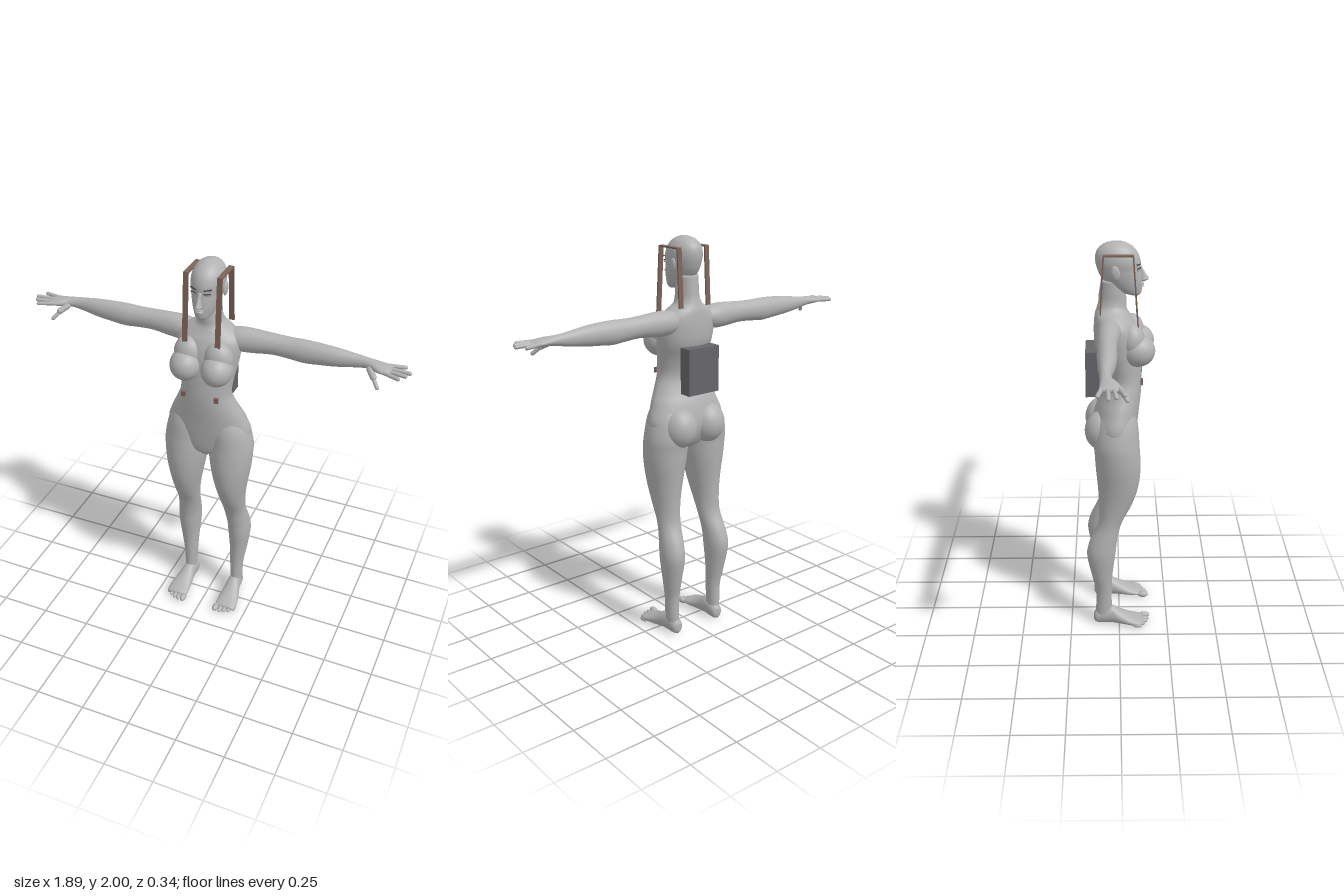
import * as THREE from 'three';

const mat = (name, color) => {
  const m = new THREE.MeshStandardMaterial({ color });
  m.name = name;
  return m;
};

// Smooth closed loft. Rows are [t, c1, r1, c2, r2]: position on the axis, then centre and radius across it.
function loft(axis, rows, side = 1, sub = 5, n = 32) {
  const curve = k => new THREE.CatmullRomCurve3(
    rows.map(r => new THREE.Vector3(r[0], r[k], r[k + 1])), false, 'catmullrom', 0.5);
  const A = curve(1), B = curve(3), steps = (rows.length - 1) * sub;
  const pos = [], idx = [];
  const put = (t, u, v) => {
    const p = axis === 'y' ? [u, t, v] : axis === 'x' ? [t, u, v] : [u, v, t];
    pos.push(p[0] * side, p[1], p[2]);
  };
  const flip = (axis === 'y') !== (rows[0][0] > rows[rows.length - 1][0]) !== (side < 0);
  const tri = (a, b, c) => flip ? idx.push(a, c, b) : idx.push(a, b, c);
  for (let i = 0; i <= steps; i++) {
    const a = A.getPoint(i / steps), b = B.getPoint(i / steps);
    for (let j = 0; j < n; j++) {
      const th = j / n * Math.PI * 2;
      put(a.x, a.y + a.z * Math.cos(th), b.y + b.z * Math.sin(th));
    }
  }
  for (let i = 0; i < steps; i++) for (let j = 0; j < n; j++) {
    const a = i * n + j, b = i * n + (j + 1) % n;
    tri(a, b, a + n);
    tri(b, b + n, a + n);
  }
  const first = rows[0], last = rows[rows.length - 1], p0 = pos.length / 3;
  put(first[0], first[1], first[3]);
  put(last[0], last[1], last[3]);
  for (let j = 0; j < n; j++) {
    const k = (j + 1) % n;
    tri(p0, k, j);
    tri(p0 + 1, steps * n + j, steps * n + k);
  }
  const g = new THREE.BufferGeometry();
  g.setAttribute('position', new THREE.Float32BufferAttribute(pos, 3));
  g.setIndex(idx);
  g.computeVertexNormals();
  return g;
}

// Rows given as [y, half width, front z, back z]
const upright = rows => rows.map(([y, w, f, b]) => [y, 0, w, (f + b) / 2, (f - b) / 2]);

export function createModel() {
  const root = new THREE.Group();
  root.name = 'mannequin';
  const skin = mat('bodyGrey', 0xb2b2b2), dark = mat('packGrey', 0x66666a);
  const brown = mat('strapBrown', 0x7c645a), ink = mat('browDark', 0x48484a);

  const add = (name, geo, m = skin) => {
    const mesh = new THREE.Mesh(geo, m);
    mesh.name = name;
    root.add(mesh);
    return mesh;
  };
  const ball = (name, p, r, m = skin) => {
    const mesh = add(name, new THREE.SphereGeometry(1, 28, 20), m);
    mesh.position.set(...p);
    mesh.scale.set(...r);
    return mesh;
  };
  const box = (name, size, p, m) => {
    const mesh = add(name, new THREE.BoxGeometry(...size), m);
    mesh.position.set(...p);
    return mesh;
  };
  const capsule = (name, a, b, r) => {
    const p = new THREE.Vector3(...a), d = new THREE.Vector3(...b).sub(p);
    const mesh = add(name, new THREE.CapsuleGeometry(r, d.length() - r, 5, 12));
    mesh.position.copy(p).addScaledVector(d, 0.5);
    mesh.quaternion.setFromUnitVectors(new THREE.Vector3(0, 1, 0), d.normalize());
  };

  // Torso and neck
  add('torso', loft('y', upright([
    [0.97, 0.04, 0.05, -0.05], [1.01, 0.13, 0.078, -0.1], [1.1, 0.213, 0.09, -0.13],
    [1.2, 0.188, 0.1, -0.11], [1.27, 0.154, 0.107, -0.08], [1.34, 0.127, 0.11, -0.063],
    [1.42, 0.133, 0.106, -0.08], [1.5, 0.147, 0.1, -0.114], [1.57, 0.156, 0.09, -0.12],
    [1.62, 0.152, 0.072, -0.118], [1.655, 0.118, 0.05, -0.114], [1.685, 0.07, 0.036, -0.105],
    [1.72, 0.054, 0.035, -0.096], [1.77, 0.052, 0.03, -0.09], [1.82, 0.05, 0.02, -0.085],
  ]), 1, 5, 48));

  // Head
  add('head', loft('y', upright([
    [1.745, 0.016, 0.09, 0.06], [1.757, 0.034, 0.103, 0.02], [1.78, 0.048, 0.107, -0.03],
    [1.81, 0.059, 0.108, -0.065], [1.84, 0.067, 0.105, -0.088], [1.87, 0.072, 0.1, -0.101],
    [1.91, 0.077, 0.099, -0.11], [1.95, 0.07, 0.084, -0.105], [1.98, 0.05, 0.054, -0.08],
    [1.995, 0.024, 0.022, -0.045], [2.0, 0.002, -0.008, -0.012],
  ]), 1, 5, 40));
  add('nose', loft('y', upright([
    [1.812, 0.006, 0.12, 0.09], [1.82, 0.016, 0.137, 0.09], [1.83, 0.013, 0.136, 0.09],
    [1.855, 0.009, 0.119, 0.09], [1.885, 0.009, 0.103, 0.085],
  ]), 1, 4, 16));
  ball('upperLip', [0, 1.801, 0.106], [0.022, 0.005, 0.011]);
  ball('lowerLip', [0, 1.791, 0.106], [0.018, 0.006, 0.011]);

  for (const s of [1, -1]) {
    // Face details
    ball('ear', [s * 0.077, 1.868, -0.017], [0.009, 0.034, 0.021]).rotation.x = -0.2;
    ball('eye', [s * 0.033, 1.872, 0.088], [0.015, 0.006, 0.006]);
    const lash = box('eyelash', [0.032, 0.004, 0.006], [s * 0.033, 1.879, 0.092], ink);
    lash.rotation.y = s * 0.42;
    const brow = box('eyebrow', [0.036, 0.005, 0.006], [s * 0.034, 1.897, 0.09], ink);
    brow.rotation.set(0, s * 0.42, s * 0.1);

    // Chest and seat
    ball('breast', [s * 0.078, 1.497, 0.087], [0.075, 0.077, 0.083]);
    ball('upperChest', [s * 0.075, 1.545, 0.06], [0.07, 0.085, 0.062]);
    ball('buttock', [s * 0.086, 1.09, -0.08], [0.088, 0.1, 0.088]);

    // Leg
    add('leg', loft('y', [
      [1.25, 0.1, 0.04, 0, 0.05], [1.15, 0.108, 0.092, -0.01, 0.095],
      [1.05, 0.116, 0.11, -0.015, 0.11], [0.98, 0.118, 0.11, -0.009, 0.111],
      [0.9, 0.12, 0.101, -0.005, 0.11], [0.8, 0.122, 0.083, -0.006, 0.1],
      [0.7, 0.125, 0.066, -0.02, 0.081], [0.6, 0.128, 0.058, -0.047, 0.059],
      [0.5, 0.138, 0.058, -0.08, 0.069], [0.42, 0.142, 0.058, -0.092, 0.072],
      [0.3, 0.14, 0.046, -0.088, 0.053], [0.2, 0.135, 0.036, -0.08, 0.041],
      [0.1, 0.135, 0.031, -0.08, 0.041], [0.04, 0.133, 0.03, -0.08, 0.044],
    ], s));

    // Foot and toes
    add('foot', loft('z', [
      [-0.133, 0.131, 0.012, 0.04, 0.02], [-0.12, 0.131, 0.028, 0.042, 0.037],
      [-0.085, 0.132, 0.034, 0.05, 0.048], [-0.04, 0.134, 0.037, 0.054, 0.05],
      [0.01, 0.138, 0.046, 0.04, 0.037], [0.06, 0.141, 0.055, 0.028, 0.025],
      [0.1, 0.142, 0.056, 0.022, 0.018], [0.12, 0.141, 0.047, 0.02, 0.011],
    ], s));
    for (let i = 0; i < 5; i++) {
      const r = i ? 0.0125 - i * 0.0006 : 0.016;
      ball('toe', [s * (i ? 0.1 + i * 0.0225 : 0.096), r + 0.003, 0.131 - i * i * 0.0022],
        [r, r, 0.028 - i * 0.001]);
    }

    // Arm and palm
    add('arm', loft('x', [
      [0.07, 1.61, 0.045, -0.045, 0.045], [0.14, 1.608, 0.058, -0.048, 0.056],
      [0.2, 1.609, 0.059, -0.05, 0.052], [0.3, 1.611, 0.051, -0.055, 0.046],
      [0.38, 1.608, 0.052, -0.056, 0.044], [0.45, 1.606, 0.056, -0.056, 0.045],
      [0.52, 1.608, 0.052, -0.056, 0.042], [0.6, 1.609, 0.045, -0.058, 0.037],
      [0.69, 1.61, 0.032, -0.062, 0.026], [0.75, 1.612, 0.023, -0.058, 0.027],
      [0.79, 1.611, 0.02, -0.047, 0.039], [0.83, 1.609, 0.015, -0.042, 0.045],
      [0.855, 1.608, 0.008, -0.042, 0.036],
    ], s));

    // Fingers and thumb
    const fingers = [[-0.074, 0.91, -0.094], [-0.053, 0.938, -0.05],
      [-0.031, 0.925, -0.018], [-0.01, 0.9, 0.016]];
    for (const [z0, x1, z1] of fingers)
      capsule('finger', [s * 0.82, 1.61, z0], [s * x1, 1.607, z1], 0.0095);
    capsule('thumbBase', [s * 0.755, 1.603, -0.035], [s * 0.79, 1.578, 0.006], 0.015);
    capsule('thumb', [s * 0.78, 1.585, -0.004], [s * 0.815, 1.546, 0.03], 0.0095);

    // Strap frame beside the head
    const strap = (name, y1, z1, y2, z2) => {
      const dy = y2 - y1, dz = z2 - z1;
      box(name, [0.025, Math.hypot(dy, dz), 0.007],
        [s * 0.081, (y1 + y2) / 2, (z1 + z2) / 2], brown).rotation.x = Math.atan2(dz, dy);
    };
    strap('strapTop', 1.95, 0.067, 1.95, -0.074);
    strap('frontStrap', 1.95, 0.064, 1.59, 0.09);
    strap('backStrap', 1.95, -0.072, 1.675, -0.088);

    // Waist clip
    box('waistClip', [0.02, 0.026, 0.012], [s * 0.083, 1.343, 0.108], brown);
  }

  // Back pack
  box('backPack', [0.18, 0.225, 0.065], [0, 1.378, -0.128], dark);
  return root;
}
